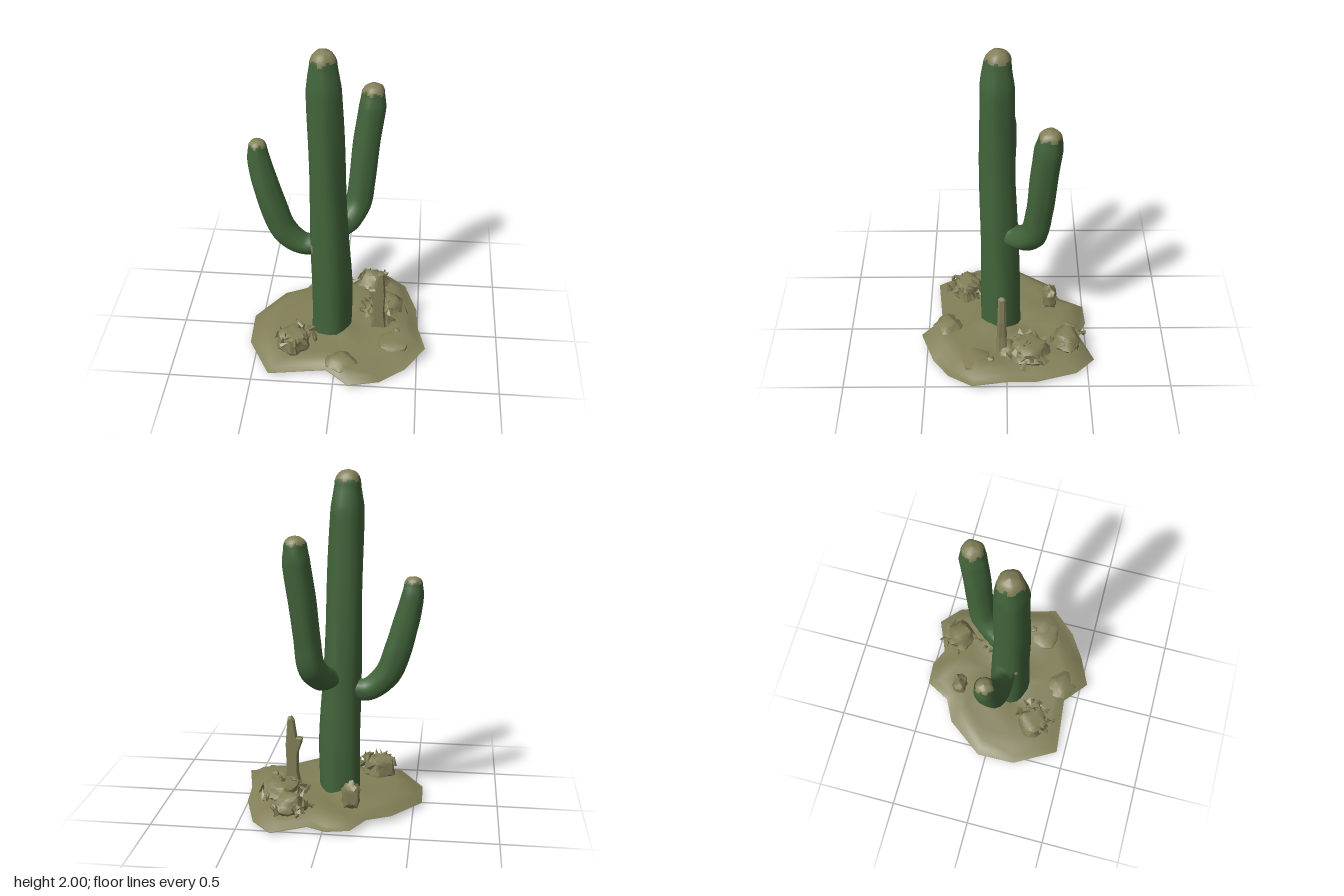
import * as THREE from 'three';
import { mergeVertices, toCreasedNormals } from 'three/addons/utils/BufferGeometryUtils.js';

const green = new THREE.MeshStandardMaterial({ color: 0x42643a, side: THREE.DoubleSide });
green.name = 'cactus green';
const sand = new THREE.MeshStandardMaterial({ color: 0x827f58, side: THREE.DoubleSide });
sand.name = 'dry sand';

let seed = 7;
const rand = () => (seed = (seed * 16807) % 2147483647) / 2147483647;

function buildGeometry(pos, idx) {
  const g = new THREE.BufferGeometry();
  g.setAttribute('position', new THREE.Float32BufferAttribute(pos, 3));
  g.setIndex(idx);
  g.computeVertexNormals();
  return g;
}

// Two triangles per quad between neighbouring rings of n points
function stitch(rings, n, flip = false) {
  const idx = [];
  for (let i = 0; i < rings - 1; i++) for (let j = 0; j < n; j++) {
    const a = i * n + j, b = i * n + (j + 1) % n, c = b + n, d = a + n;
    if (flip) idx.push(a, c, b, a, d, c);
    else idx.push(a, b, c, a, c, d);
  }
  return idx;
}

// Fleshy limb swept along [x, y, z, radius] points, with a ragged sandy tip above tipY
function limb(name, points, ref, tipY) {
  const n = 20, steps = 48;
  const path = new THREE.CatmullRomCurve3(points.map(p => new THREE.Vector3(p[0], p[1], p[2])));
  const radii = points.map(p => p[3]);
  const pos = [];
  for (let i = 0; i <= steps; i++) {
    const t = i / steps, f = t * (points.length - 1);
    const k = Math.min(Math.floor(f), points.length - 2);
    const last = k === points.length - 2;
    const s = last ? 1 - Math.sqrt(Math.max(0, 1 - (f - k) ** 2)) : f - k;
    const r = THREE.MathUtils.lerp(radii[k], radii[k + 1], s);
    const c = path.getPoint(t), T = path.getTangent(t);
    const v = T.clone().cross(ref).normalize(), u = v.clone().cross(T);
    for (let j = 0; j < n; j++) {
      const a = j / n * Math.PI * 2;
      const rr = r * (1 + 0.04 * Math.sin(5 * a + 2 * t) + 0.03 * Math.sin(3 * a + 17 * t));
      const p = c.clone().addScaledVector(u, rr * Math.cos(a)).addScaledVector(v, rr * Math.sin(a));
      pos.push(p.x, p.y, p.z);
    }
  }
  // Sort the faces into green skin and dry tip
  const all = stitch(steps + 1, n), skin = [], tip = [];
  for (let i = 0; i < all.length; i += 3) {
    const face = all.slice(i, i + 3);
    const ragged = 0.012 * Math.sin(all[i] % n * 1.9);
    const y = Math.min(...face.map(q => pos[q * 3 + 1]));
    (y > tipY + ragged ? tip : skin).push(...face);
  }
  const g = buildGeometry(pos, [...skin, ...tip]);
  g.addGroup(0, skin.length, 0);
  g.addGroup(skin.length, tip.length, 1);
  const m = new THREE.Mesh(g, [green, sand]);
  m.name = name;
  return m;
}

// Ragged slab outline: x, z, edge height
const outline = [
  [-0.55, -0.05, 0.02], [-0.38, -0.28, 0.03], [-0.24, -0.35, 0.03], [-0.16, -0.5, 0.03], [-0.02, -0.51, 0.02],
  [0.09, -0.46, 0.02], [0.29, -0.545, 0.01], [0.41, -0.43, 0.02], [0.49, -0.18, 0.03], [0.5, 0, 0.04],
  [0.55, 0.21, 0.06], [0.43, 0.36, 0.02], [0.28, 0.46, 0], [0.095, 0.54, 0.035], [-0.05, 0.415, 0.03],
  [-0.4, 0.45, 0.01], [-0.545, 0.19, 0.015],
];

function groundSheet(name, profile, bump, flip) {
  const pos = [];
  for (const [s, h] of profile) for (const [x, z, e] of outline) {
    const w = bump * Math.sin(x * s * 17 + 1) * Math.sin(z * s * 15) * (s < 1 ? 1 : 0);
    pos.push(x * s, e * s * s + h + w, z * s);
  }
  const m = new THREE.Mesh(buildGeometry(pos, stitch(profile.length, outline.length, flip)), sand);
  m.name = name;
  return m;
}

// Weathered boulder: an icosphere pushed in and out by waves, flat where it sits in the ground
function rock(name, x, y, z, rx, ry, rz, rough = 0.14) {
  let g = new THREE.IcosahedronGeometry(1, 2);
  g.deleteAttribute('uv');
  g.deleteAttribute('normal');
  g = mergeVertices(g);
  const p = g.attributes.position, v = new THREE.Vector3();
  for (let i = 0; i < p.count; i++) {
    v.fromBufferAttribute(p, i);
    const k = 1 + rough * Math.sin(5 * v.x + 31 * x) * Math.cos(4 * v.z + 23 * z) + rough * 0.7 * Math.sin(7 * v.y + 9 * x);
    p.setXYZ(i, v.x * k * rx, Math.max(v.y * k * ry, 0.055 - y), v.z * k * rz);
  }
  const m = new THREE.Mesh(toCreasedNormals(g, 0.7), sand);
  m.position.set(x, y, z);
  m.name = name;
  return m;
}

// Broken shards scattered over a rock pile
function shards(name, cx, cy, cz, radius, count) {
  const group = new THREE.Group();
  group.name = name;
  for (let i = 0; i < count; i++) {
    const a = rand() * Math.PI * 2, d = radius * Math.sqrt(rand());
    const g = new THREE.ConeGeometry(0.018 + 0.016 * rand(), 0.04 + 0.04 * rand(), 4).toNonIndexed();
    g.computeVertexNormals();
    const m = new THREE.Mesh(g, sand);
    m.position.set(cx + d * Math.cos(a), cy - 0.5 * d, cz + d * Math.sin(a));
    m.rotation.set(rand() * 2 - 1, rand() * 3, rand() * 2 - 1);
    m.scale.z = 0.5;
    m.name = 'shard';
    group.add(m);
  }
  return group;
}

export function createModel() {
  const model = new THREE.Group();
  model.name = 'cactus';

  // Cactus body and arms
  model.add(
    limb('trunk', [
      [-0.045, 0.025, 0.035, 0.124], [-0.045, 0.35, 0.035, 0.124], [-0.052, 0.7, 0.042, 0.115], [-0.062, 1.1, 0.048, 0.106],
      [-0.072, 1.5, 0.05, 0.101], [-0.078, 1.78, 0.048, 0.097], [-0.083, 1.91, 0.045, 0.077], [-0.085, 2.0, 0.042, 0.001],
    ], new THREE.Vector3(0, 0, 1), 1.935),
    limb('rightArm', [
      [-0.1, 0.7, 0.03, 0.06], [-0.22, 0.705, 0.03, 0.068], [-0.32, 0.79, 0.025, 0.079], [-0.385, 0.95, 0.02, 0.081],
      [-0.435, 1.13, 0.01, 0.075], [-0.465, 1.29, 0, 0.064], [-0.47, 1.35, 0, 0.054], [-0.472, 1.4, 0, 0.001],
    ], new THREE.Vector3(0, 0, 1), 1.365),
    limb('leftArm', [
      [-0.02, 0.79, 0.0, 0.06], [0.045, 0.8, -0.085, 0.075], [0.1, 0.88, -0.16, 0.081], [0.125, 1.05, -0.188, 0.078],
      [0.15, 1.3, -0.21, 0.08], [0.175, 1.52, -0.23, 0.079], [0.18, 1.6, -0.235, 0.066], [0.182, 1.66, -0.236, 0.001],
    ], new THREE.Vector3(0.8, 0, 0.6), 1.61),
  );

  // Ring of the trunk showing under the slab, and the dry scar at the arm joint
  const root = new THREE.Mesh(new THREE.RingGeometry(0.095, 0.122, 16), green);
  root.rotation.x = Math.PI / 2;
  root.position.set(-0.045, 0.018, 0.035);
  root.name = 'rootRing';
  const scar = new THREE.Mesh(new THREE.SphereGeometry(0.03, 8, 6), sand);
  scar.scale.set(0.55, 1.5, 0.7);
  scar.position.set(-0.148, 0.705, 0.095);
  scar.name = 'scar';
  model.add(root, scar);

  // Ground slab
  model.add(
    groundSheet('groundTop', [[1, 0.005], [0.92, 0.028], [0.83, 0.062], [0.7, 0.068], [0.5, 0.075], [0.3, 0.082], [0.15, 0.085], [0, 0.085]], 0.02, true),
    groundSheet('groundUnderside', [[1, 0], [0.8, 0.012], [0.55, 0.02], [0.25, 0.026], [0, 0.026]], 0.01, false),
  );

  // Boulders
  model.add(
    rock('frontLeftBoulder', -0.27, 0.11, 0.25, 0.1, 0.09, 0.09),
    rock('backBoulder', -0.145, 0.15, -0.28, 0.055, 0.095, 0.045, 0.18),
    rock('frontBoulder', 0.04, 0.06, 0.37, 0.1, 0.05, 0.085),
    rock('sideMound', 0.35, 0.06, 0.18, 0.11, 0.045, 0.1),
    rock('backScrub', 0.2, 0.1, -0.37, 0.095, 0.075, 0.085),
    rock('sideScrub', 0.29, 0.09, -0.14, 0.115, 0.07, 0.12),
    rock('smallRock', 0.26, 0.09, 0.0, 0.07, 0.04, 0.05),
    rock('pebble', 0.37, 0.09, 0.1, 0.025, 0.03, 0.025),
    shards('frontLeftShards', -0.25, 0.215, 0.255, 0.13, 24),
    shards('backShards', 0.2, 0.17, -0.37, 0.11, 16),
    shards('sideShards', 0.28, 0.165, -0.12, 0.15, 30),
  );

  // Dead stump with a snapped side branch
  const shape = new THREE.Shape([
    [0.2, 0.08], [0.3, 0.08], [0.285, 0.2], [0.29, 0.33], [0.277, 0.5], [0.255, 0.51], [0.238, 0.49],
    [0.222, 0.38], [0.185, 0.375], [0.19, 0.345], [0.212, 0.28], [0.215, 0.16],
  ].map(([x, y]) => new THREE.Vector2(x, y)));
  const stumpShape = new THREE.ExtrudeGeometry(shape, { depth: 0.03, bevelThickness: 0.012, bevelSize: 0.008, bevelOffset: -0.008, bevelSegments: 1 });
  const p = stumpShape.attributes.position;
  for (let i = 0; i < p.count; i++) {
    const taper = 1.25 - 1.1 * (p.getY(i) - 0.08);
    p.setZ(i, 0.03 + (p.getZ(i) - 0.015) * taper);
  }
  stumpShape.computeVertexNormals();
  const stump = new THREE.Mesh(stumpShape, sand);
  stump.name = 'deadStump';
  model.add(stump);

  return model;
}
